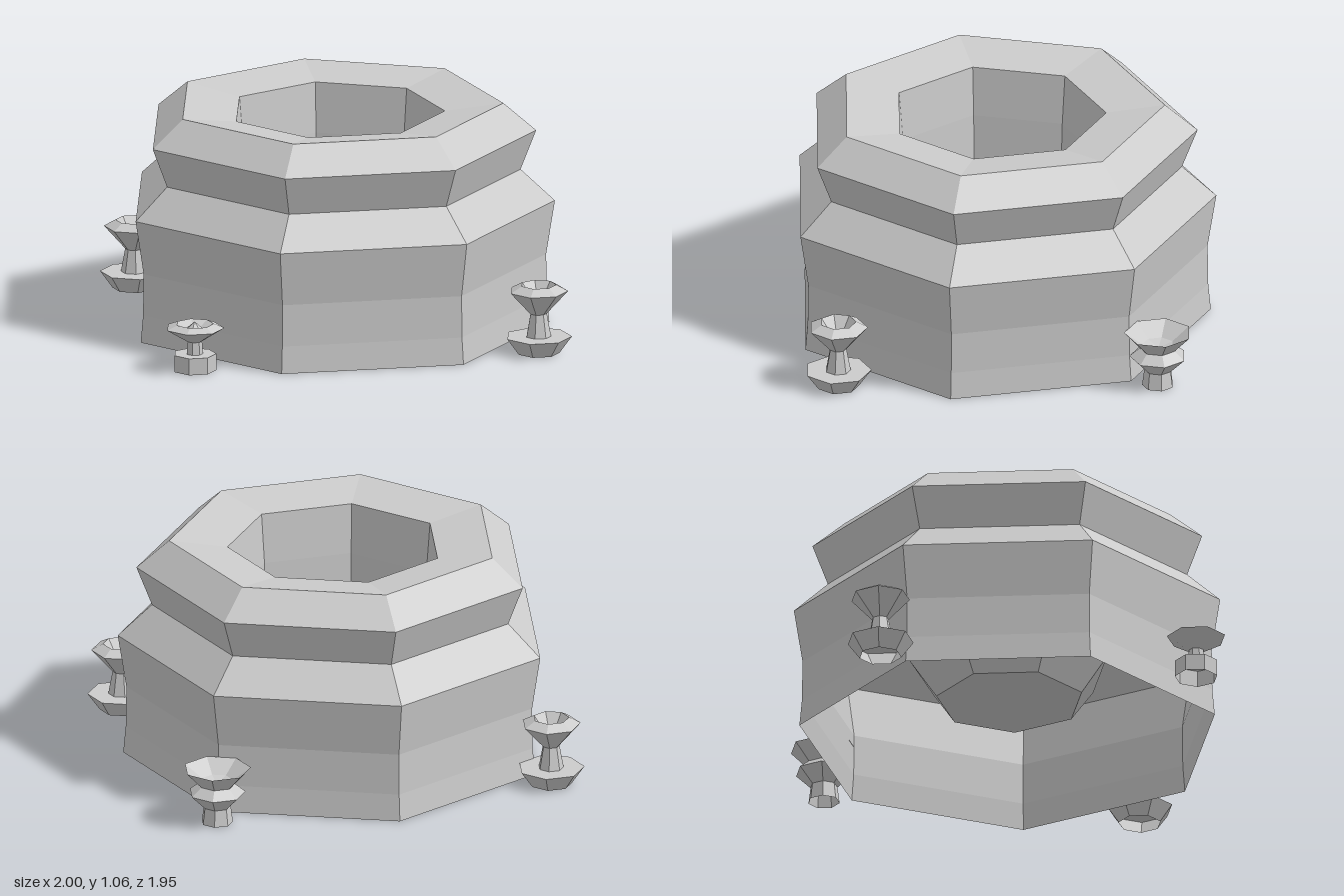
import * as THREE from 'three';

const material = new THREE.MeshStandardMaterial({
  color: 0xcccccc, flatShading: true, side: THREE.DoubleSide,
});

// Seven-sided turned part; profile runs from the foot up the outside and into the cup
function turned(name, profile, x, z, startAngle) {
  const points = profile.map(([r, y]) => new THREE.Vector2(r, y));
  const geometry = new THREE.LatheGeometry(points, 7, startAngle).toNonIndexed();
  geometry.computeVertexNormals();
  const mesh = new THREE.Mesh(geometry, material);
  mesh.name = name;
  mesh.position.set(x, 0, z);
  return mesh;
}

// Open-bottomed stepped wall, sloping rim and deep bowl
const basin = [
  [1.0, 0], [0.988, 0.13], [0.985, 0.33], [1.026, 0.59], [0.865, 0.74],
  [0.938, 0.93], [0.785, 1.06], [0.51, 1.02], [0.49, 0.78], [0.475, 0.37],
  [0.35, 0.2], [0, 0.12],
];

// Tall cup on a flared foot
const tallCup = [
  [0.1, 0], [0.158, 0.08], [0.06, 0.08], [0.04, 0.19], [0.14, 0.3],
  [0.085, 0.33], [0, 0.21],
];

// Low dish on a drum foot with a small centre point
const lowDish = [
  [0.102, 0], [0.102, 0.08], [0.04, 0.08], [0.035, 0.14], [0.14, 0.205],
  [0.09, 0.225], [0.04, 0.2], [0, 0.235],
];

// Funnel above a collar
const collarCup = [
  [0.075, 0], [0.065, 0.08], [0.135, 0.15], [0.085, 0.19], [0.16, 0.27],
  [0.075, 0.21], [0, 0.19],
];

export function createModel() {
  const group = new THREE.Group();
  group.name = 'basinWithCornerCups';
  group.add(
    turned('basin', basin, 0, 0.05, Math.PI),
    turned('frontLeftCup', tallCup, 0.82, 0.8, Math.PI),
    turned('frontRightDish', lowDish, -0.82, 0.8, Math.PI),
    turned('backLeftCup', collarCup, 0.82, -0.7, 0),
    turned('backRightCup', tallCup, -0.82, -0.7, 0),
  );
  return group;
}
